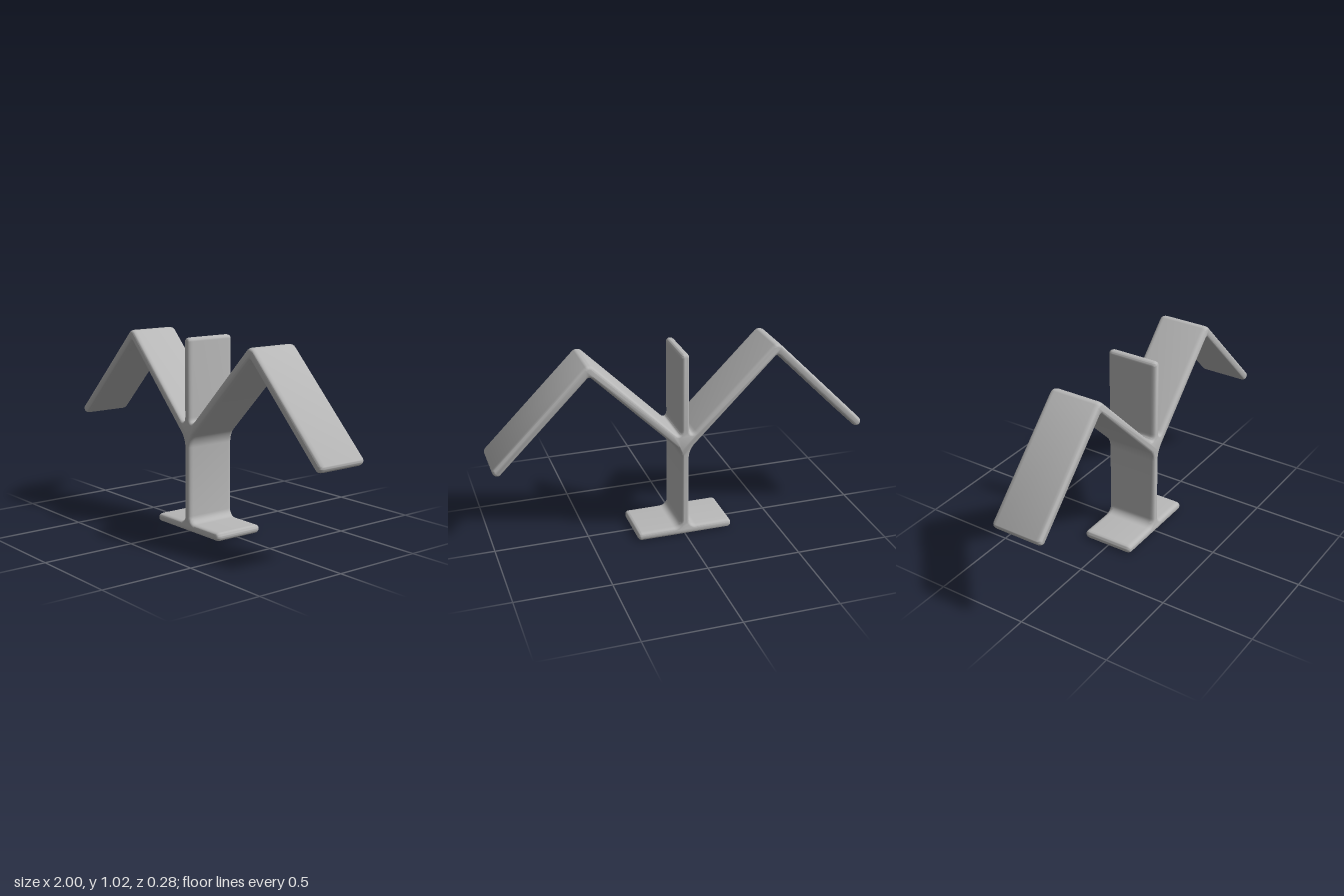
import * as THREE from 'three';
import { mergeVertices, toCreasedNormals } from 'three/addons/utils/BufferGeometryUtils.js';

// Closed shape from [x, y, trim] corners, each rounded off over its trim length
function roundedShape(corners) {
  const shape = new THREE.Shape();
  const n = corners.length;
  const at = (i) => new THREE.Vector2(corners[(i + n) % n][0], corners[(i + n) % n][1]);
  corners.forEach(([, , trim], i) => {
    const p = at(i);
    const toPrev = at(i - 1).sub(p).normalize();
    const toNext = at(i + 1).sub(p).normalize();
    const along = (dir, d) => p.clone().addScaledVector(dir, d);
    const a = along(toPrev, trim), b = along(toNext, trim);
    const c1 = along(toPrev, trim * 0.45), c2 = along(toNext, trim * 0.45);
    if (i === 0) shape.moveTo(a.x, a.y);
    else shape.lineTo(a.x, a.y);
    shape.bezierCurveTo(c1.x, c1.y, c2.x, c2.y, b.x, b.y);
  });
  shape.closePath();
  return shape;
}

export function createModel() {
  const group = new THREE.Group();
  group.name = 'branchedStand';

  const grey = new THREE.MeshStandardMaterial({ color: 0xb8b8b8 });
  grey.name = 'grey';

  // Left half of the outline, from the top of the post down to the foot
  const half = [
    [0.022, 1.027, 0.02],  // post top
    [0.022, 0.565, 0.05],  // fillet between post and arm
    [0.495, 1.038, 0.035], // outer elbow
    [1.01, 0.523, 0.024],  // arm tip, upper corner
    [0.975, 0.488, 0.024], // arm tip, lower corner
    [0.495, 0.968, 0.015], // inner elbow
    [0.022, 0.495, 0.04],  // fillet between arm and stem
    [0.022, 0.047, 0.04],  // fillet between stem and foot
    [0.26, 0.047, 0.02],   // foot end, upper corner
    [0.26, 0.002, 0.02],   // foot end, lower corner
  ];
  const mirrored = half.map(([x, y, t]) => [-x, y, t]).reverse();
  // Clockwise half plus its mirror, reversed to run counter-clockwise
  const outline = roundedShape([...half, ...mirrored].reverse());

  // Post, folded arms, stem and foot are one continuous soft-edged strip
  const raw = new THREE.ExtrudeGeometry(outline, {
    depth: 0.232,
    curveSegments: 7,
    bevelEnabled: true,
    bevelSize: 0.014,
    bevelOffset: -0.014,
    bevelThickness: 0.026,
    bevelSegments: 4,
  });
  raw.translate(0, 0, -0.116);
  raw.deleteAttribute('normal');
  raw.deleteAttribute('uv');
  raw.clearGroups();
  const strip = new THREE.Mesh(toCreasedNormals(mergeVertices(raw, 1e-5), 0.7), grey);
  strip.name = 'postArmsAndFoot';
  group.add(strip);

  return group;
}
